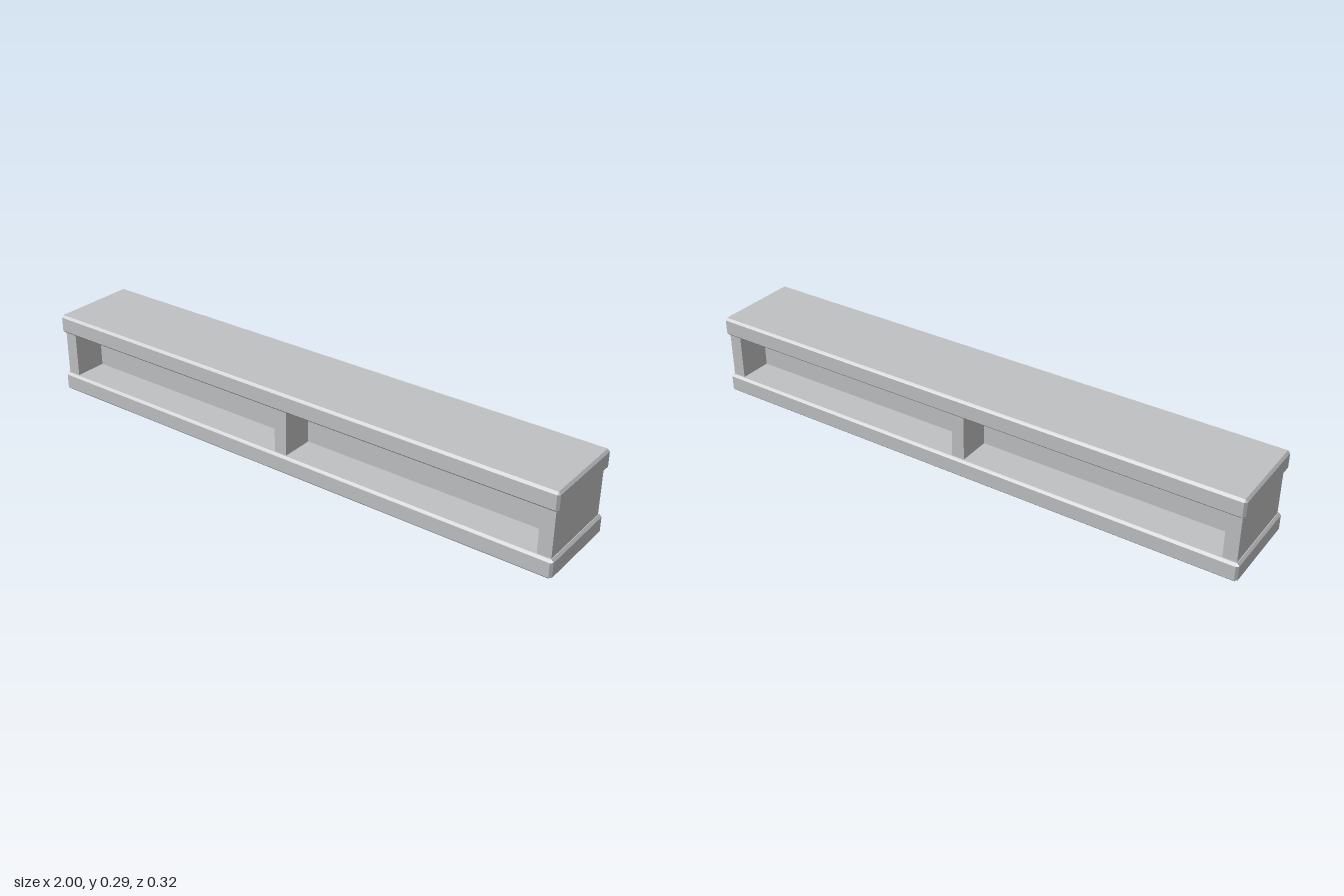
import * as THREE from 'three';

const BEVEL = 0.008;

// Box with chamfered edges and open corner tips, centred on the origin
function chamferedBox(w, h, d, bevel) {
  const half = [w / 2, h / 2, d / 2];
  const positions = [];
  // Point at the corner given by signs, lying on the main face of one axis
  const corner = (signs, axis) => new THREE.Vector3(
    ...signs.map((s, k) => s * (k === axis ? half[k] : half[k] - bevel)));
  const quad = (a, b, c, e) => {
    const normal = b.clone().sub(a).cross(c.clone().sub(a));
    const outward = normal.dot(a.clone().add(c)) > 0;
    const order = outward ? [a, b, c, a, c, e] : [a, c, b, a, e, c];
    order.forEach((p) => positions.push(p.x, p.y, p.z));
  };
  const signsAt = (a, sa, b, sb, c, sc) => {
    const s = [0, 0, 0];
    s[a] = sa; s[b] = sb; s[c] = sc;
    return s;
  };
  for (let a = 0; a < 3; a++) {
    const b = (a + 1) % 3, c = (a + 2) % 3;
    for (const sa of [-1, 1]) {
      // Main face
      quad(...[[-1, -1], [1, -1], [1, 1], [-1, 1]].map(
        ([sb, sc]) => corner(signsAt(a, sa, b, sb, c, sc), a)));
      // Chamfers between this face and the next axis
      for (const sb of [-1, 1]) {
        const near = signsAt(a, sa, b, sb, c, -1), far = signsAt(a, sa, b, sb, c, 1);
        quad(corner(near, a), corner(far, a), corner(far, b), corner(near, b));
      }
    }
  }
  const geometry = new THREE.BufferGeometry();
  geometry.setAttribute('position', new THREE.Float32BufferAttribute(positions, 3));
  geometry.computeVertexNormals();
  return geometry;
}

export function createModel() {
  const group = new THREE.Group();
  group.name = 'lowBench';
  const grey = new THREE.MeshStandardMaterial({ color: 0xbfc0c2 });
  grey.name = 'plainGrey';

  const add = (name, geometry, x, y, z) => {
    const mesh = new THREE.Mesh(geometry, grey);
    mesh.name = name;
    mesh.position.set(x, y, z);
    group.add(mesh);
  };

  // Base and top slabs
  const slab = chamferedBox(2, 0.067, 0.32, BEVEL);
  add('baseSlab', slab, 0, 0.0335, 0);
  add('topSlab', slab, 0, 0.2615, 0);

  // Upright dividers at both ends and in the middle
  const upright = new THREE.BoxGeometry(0.047, 0.161, 0.296);
  add('rightUpright', upright, -0.966, 0.1475, 0);
  add('middleUpright', upright, 0, 0.1475, 0);
  add('leftUpright', upright, 0.966, 0.1475, 0);

  // Central wall panels between the uprights
  const panel = new THREE.BoxGeometry(0.919, 0.161, 0.06);
  add('rightWallPanel', panel, -0.483, 0.1475, 0);
  add('leftWallPanel', panel, 0.483, 0.1475, 0);

  return group;
}
